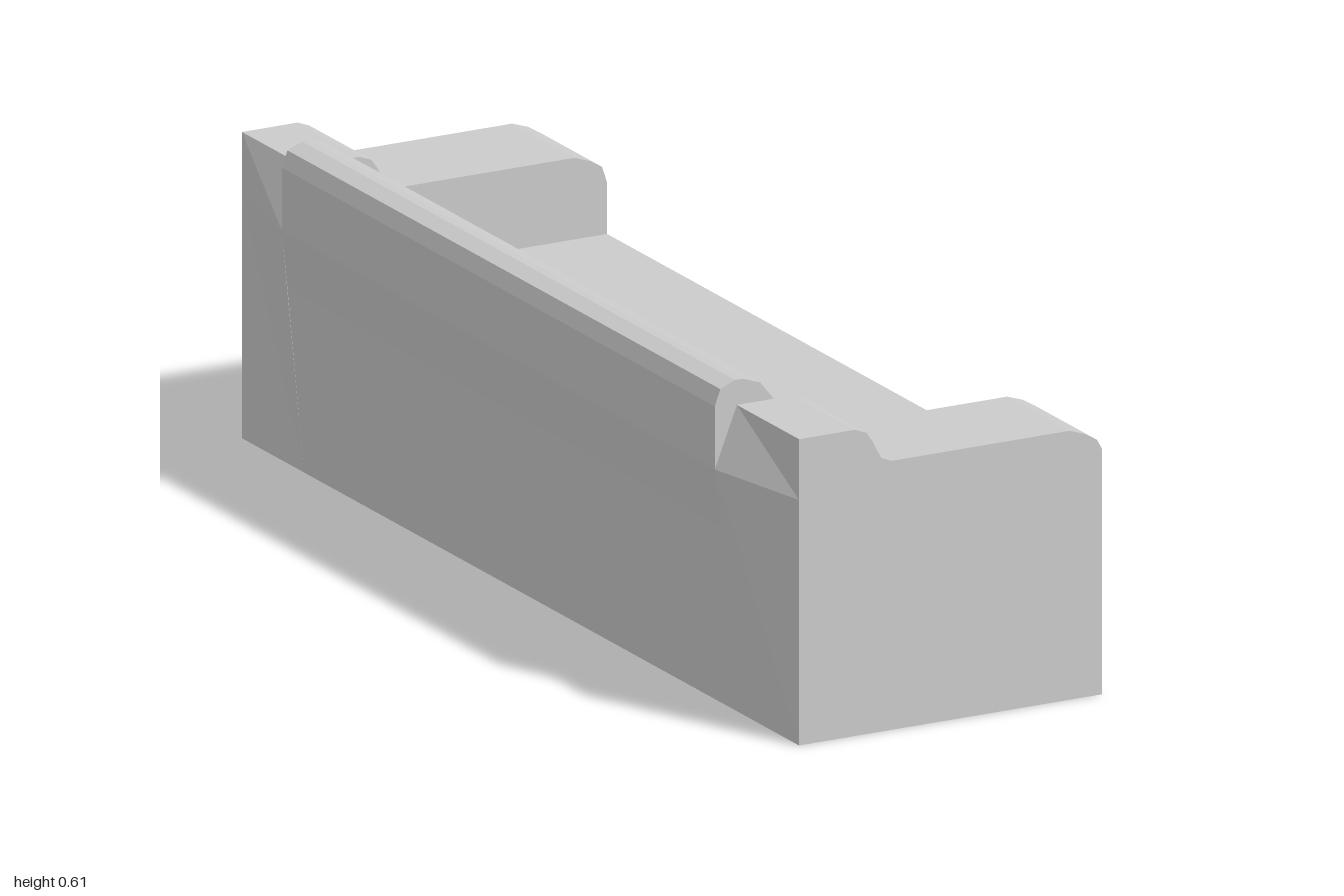
import * as THREE from 'three';

const material = new THREE.MeshStandardMaterial({ color: 0xcccccc, flatShading: true });

// Closed solid between two counter-clockwise xy outlines with matching point counts (z0 < z1).
function loft(name, outline0, z0, outline1, z1) {
  const positions = [];
  const at0 = (i) => [...outline0[i], z0];
  const at1 = (i) => [...outline1[i], z1];
  const tri = (...corners) => corners.forEach((c) => positions.push(...c));
  const n = outline0.length;
  for (let i = 0; i < n; i++) {
    const j = (i + 1) % n;
    tri(at0(i), at0(j), at1(j));
    tri(at0(i), at1(j), at1(i));
  }
  const faces = (outline) =>
    THREE.ShapeUtils.triangulateShape(outline.map(([x, y]) => new THREE.Vector2(x, y)), []);
  for (const [a, b, c] of faces(outline0)) tri(at0(a), at0(c), at0(b));
  for (const [a, b, c] of faces(outline1)) tri(at1(a), at1(b), at1(c));
  const geometry = new THREE.BufferGeometry();
  geometry.setAttribute('position', new THREE.Float32BufferAttribute(positions, 3));
  geometry.computeVertexNormals();
  const mesh = new THREE.Mesh(geometry, material);
  mesh.name = name;
  return mesh;
}

// Arm outline: rounded nose, flat rest, then a step up to the back post.
function armOutline(noseY, bulgeX) {
  return [
    [-0.279, 0], [0.323, 0], [0.323, noseY], [0.313, 0.466], [0.29, 0.48], [0.258, 0.491],
    [-0.095, 0.491], [-0.116, 0.5], [-0.129, 0.525], [-0.132, 0.531], [-0.145, 0.55],
    [-0.168, 0.559], [-0.279, 0.559], [bulgeX, 0.448],
  ];
}

export function createModel() {
  const group = new THREE.Group();
  group.name = 'sofa';
  const inner = 0.777;
  const seatY = 0.342;
  const rearX = -0.312; // leaning rear face at seat height

  // Seat block between the arms
  const seat = [[-0.279, 0], [0.323, 0], [0.323, seatY], [rearX, seatY]];
  group.add(loft('seatBase', seat, -inner, seat, inner));

  // Sloping backrest with a rounded top
  const back = [
    [rearX, seatY], [-0.122, seatY], [-0.208, 0.562], [-0.233, 0.593], [-0.267, 0.605],
    [-0.283, 0.605], [-0.312, 0.593], [-0.323, 0.563], [-0.323, 0.448],
  ];
  group.add(loft('backrest', back, -inner, back, inner));

  // Arms, flaring at the rear to meet the backrest
  const armOuter = armOutline(0.448, -0.279);
  const armInner = armOutline(0.436, -0.323);
  group.add(loft('nearArm', armInner, inner, armOuter, 1));
  group.add(loft('farArm', armOuter, -1, armInner, -inner));

  return group;
}
